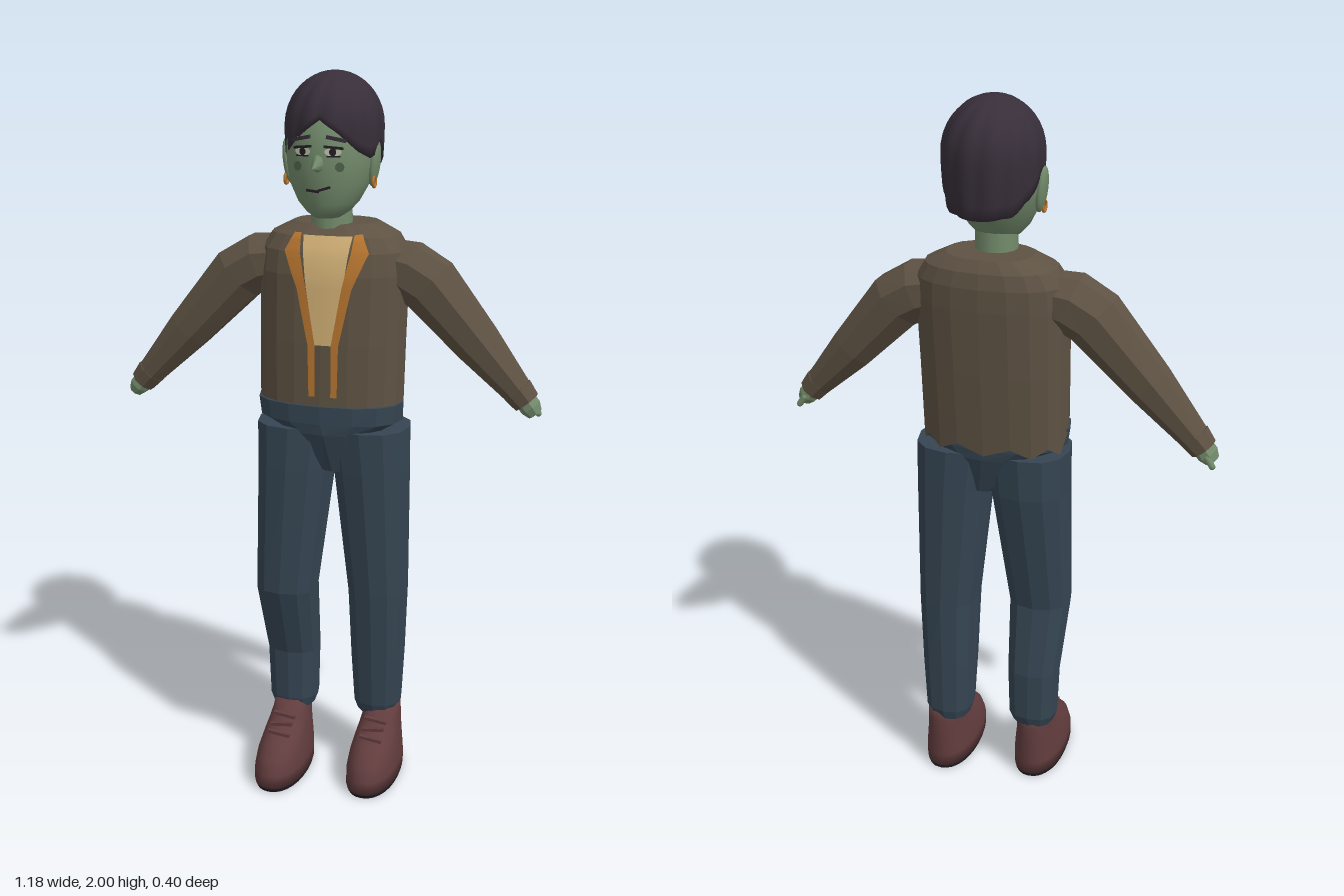
import * as THREE from 'three';

const mat = (name, color) => {
  const m = new THREE.MeshStandardMaterial({ color });
  m.name = name;
  return m;
};
const M = {
  skin: mat('skin', 0x728a6b), cheek: mat('cheekSpot', 0x4d6048), hair: mat('hair', 0x372e39),
  jacket: mat('jacket', 0x5e5243), trim: mat('jacketTrim', 0xb5742f), shirt: mat('shirt', 0xcfae74),
  pants: mat('pants', 0x354552), shoe: mat('shoe', 0x613c3d), dark: mat('dark', 0x221d24),
  eye: mat('eyeWhite', 0xb9c2a8),
};

// Grid of rings -> closed surface; each ring runs from +z towards +x, rings go along the path
function skin(rings, flat, caps = true) {
  const n = rings[0].length, pos = rings.flat().flatMap(p => [p.x, p.y, p.z]), idx = [];
  for (let i = 0; i < rings.length - 1; i++)
    for (let j = 0; j < n; j++) {
      const a = i * n + j, b = i * n + (j + 1) % n;
      idx.push(a, b, b + n, a, b + n, a + n);
    }
  if (caps) [0, rings.length - 1].forEach((r, k) => {
    const c = rings[r].reduce((s, p) => s.add(p), new THREE.Vector3()).divideScalar(n);
    const ci = pos.push(c.x, c.y, c.z) / 3 - 1;
    for (let j = 0; j < n; j++) {
      const a = r * n + j, b = r * n + (j + 1) % n;
      idx.push(ci, ...(k ? [a, b] : [b, a]));
    }
  });
  let g = new THREE.BufferGeometry();
  g.setAttribute('position', new THREE.Float32BufferAttribute(pos, 3));
  g.setIndex(idx);
  if (flat) g = g.toNonIndexed();
  g.computeVertexNormals();
  return g;
}
const bend = (v, e) => Math.sign(v) * Math.pow(Math.abs(v), e);

// Upright sections [y, centre x, half width, front z, back z]
function upright(secs, n, e, flat, tweak) {
  return skin(secs.map(([y, cx, rx, f, b], i) => Array.from({ length: n }, (_, j) => {
    const a = j / n * Math.PI * 2;
    const p = new THREE.Vector3(cx + rx * bend(Math.sin(a), e), y, (f + b) / 2 + (f - b) / 2 * bend(Math.cos(a), e));
    if (tweak) tweak(p, i, j);
    return p;
  })), flat);
}
// Front z of an upright form at (x, y)
function frontZ(secs, e, x, y) {
  let i = 0;
  while (i < secs.length - 2 && y > secs[i + 1][0]) i++;
  const t = THREE.MathUtils.clamp((y - secs[i][0]) / (secs[i + 1][0] - secs[i][0]), 0, 1);
  const [, cx, rx, f, b] = secs[i].map((v, k) => v + (secs[i + 1][k] - v) * t);
  const q = Math.min(1, Math.abs((x - cx) / rx));
  return (f + b) / 2 + (f - b) / 2 * Math.pow(1 - Math.pow(q, 2 / e), e / 2);
}
// Limb in the xy plane: sections [x, y, z, half thickness, half depth]
function limb(secs, n) {
  const Z = new THREE.Vector3(0, 0, 1);
  return skin(secs.map(([x, y, z, ru, rv], i) => {
    const p = secs[Math.max(0, i - 1)], q = secs[Math.min(secs.length - 1, i + 1)];
    const u = new THREE.Vector3(q[0] - p[0], q[1] - p[1], 0).normalize().cross(Z);
    return Array.from({ length: n }, (_, j) => {
      const a = (j + 0.5) / n * Math.PI * 2;
      return new THREE.Vector3(x, y, z).addScaledVector(u, ru * Math.sin(a)).addScaledVector(Z, rv * Math.cos(a));
    });
  }), true);
}
// Thin panel following the front of an upright form; rows [y, left x, right x] from bottom to top
function panel(rows, secs, e, lift) {
  const cols = 4, steps = 5, pos = [], idx = [];
  const pts = [];
  rows.forEach((r, i) => {
    if (!i) return pts.push(r);
    for (let s = 1; s <= steps; s++) pts.push(r.map((v, k) => rows[i - 1][k] + (v - rows[i - 1][k]) * s / steps));
  });
  pts.forEach(([y, a, b], i) => {
    for (let c = 0; c <= cols; c++) {
      const x = a + (b - a) * c / cols, k = i * (cols + 1) + c;
      pos.push(x, y, frontZ(secs, e, x, y) + lift);
      if (i && c) idx.push(k - cols - 2, k - cols - 1, k, k - cols - 2, k, k - 1);
    }
  });
  const g = new THREE.BufferGeometry();
  g.setAttribute('position', new THREE.Float32BufferAttribute(pos, 3));
  g.setIndex(idx);
  g.computeVertexNormals();
  return g;
}

export function createModel() {
  const model = new THREE.Group();
  model.name = 'standingFigure';
  const add = (name, geo, material, x = 0, y = 0, z = 0) => {
    const m = new THREE.Mesh(geo, material);
    m.name = name;
    m.position.set(x, y, z);
    model.add(m);
    return m;
  };

  // Jacket body with a ragged back hem
  const torso = [[1.12, 0.017, 0.2, 0.07, -0.165], [1.3, 0.018, 0.202, 0.068, -0.18], [1.48, 0.02, 0.204, 0.062, -0.19],
    [1.54, 0.02, 0.2, 0.05, -0.19], [1.58, 0.02, 0.175, 0.032, -0.183], [1.61, 0.02, 0.115, 0.002, -0.165]];
  add('jacketBody', upright(torso, 20, 0.85, true, (p, i, j) => {
    if (i === 0 && p.z < -0.06) p.y = 1.07 + (j % 2) * 0.025;
  }), M.jacket);
  add('shirtFront', panel([[1.3, 0.004, 0.06], [1.45, -0.02, 0.08], [1.585, -0.038, 0.095]], torso, 0.85, 0.009), M.shirt);
  const trim = [[1.16, 0.008, 0.025], [1.3, 0.008, 0.028], [1.45, 0.034, 0.06], [1.545, 0.055, 0.1], [1.59, 0.058, 0.078]];
  add('leftTrim', panel(trim.map(([y, a, b]) => [y, 0.029 + a + 0.014, 0.029 + b + 0.014]), torso, 0.85, 0.014), M.trim);
  add('rightTrim', panel(trim.map(([y, a, b]) => [y, 0.029 - b - 0.014, 0.029 - a - 0.014]), torso, 0.85, 0.014), M.trim);

  // Sleeves, cuffs and hands
  const arm = (side, path, s) => {
    add(side + 'Sleeve', limb(path, 8), M.jacket);
    const [x, y, z] = path[path.length - 1];
    add(side + 'Cuff', limb([[x - s * 0.024, y + 0.028, z, 0.043, 0.042], [x + s * 0.004, y - 0.005, z, 0.037, 0.036]], 8), M.jacket);
    add(side + 'Hand', limb([[x - s * 0.01, y + 0.012, z, 0.028, 0.03], [x + s * 0.015, y - 0.018, z, 0.029, 0.032],
      [x + s * 0.028, y - 0.035, z, 0.02, 0.024]], 8), M.skin);
    const thumb = add(side + 'Thumb', new THREE.CapsuleGeometry(0.009, 0.025, 3, 8), M.skin, x + s * 0.025, y - 0.03, z - 0.026);
    thumb.rotation.z = s * 0.6;
  };
  arm('right', [[-0.13, 1.5, -0.065, 0.07, 0.07], [-0.19, 1.49, -0.065, 0.083, 0.076], [-0.25, 1.455, -0.062, 0.083, 0.073],
    [-0.4, 1.29, -0.055, 0.064, 0.06], [-0.545, 1.13, -0.05, 0.036, 0.037]], -1);
  arm('left', [[0.16, 1.5, -0.075, 0.07, 0.07], [0.22, 1.485, -0.075, 0.083, 0.076], [0.28, 1.45, -0.075, 0.083, 0.073],
    [0.415, 1.3, -0.073, 0.064, 0.058], [0.55, 1.155, -0.064, 0.036, 0.035]], 1);

  // Trousers
  add('hips', upright([[0.94, 0.045, 0.055, 0.045, -0.12], [1.05, 0.028, 0.14, 0.076, -0.152],
    [1.08, 0.02, 0.2, 0.078, -0.155], [1.13, 0.018, 0.205, 0.078, -0.155]], 16, 0.85, true), M.pants);
  add('rightLeg', upright([[0.18, -0.095, 0.06, 0.008, -0.105], [0.21, -0.095, 0.071, 0.016, -0.115], [0.36, -0.096, 0.076, 0.018, -0.118],
    [0.57, -0.1, 0.088, 0.079, -0.085], [0.94, -0.078, 0.108, 0.079, -0.145], [1.06, -0.073, 0.115, 0.074, -0.15]], 12, 0.85, true), M.pants);
  add('leftLeg', upright([[0.18, 0.15, 0.058, -0.02, -0.148], [0.21, 0.151, 0.069, -0.01, -0.156], [0.36, 0.152, 0.077, 0.008, -0.156],
    [0.57, 0.153, 0.084, 0.032, -0.156], [0.94, 0.135, 0.105, 0.064, -0.156], [1.06, 0.126, 0.114, 0.072, -0.156]], 12, 0.85, true), M.pants);

  // Shoes with dark soles and laces
  for (const [side, x, dz] of [['right', -0.098, 0.045], ['left', 0.165, 0]]) {
    add(side + 'Sole', upright([[0, 0, 0.07, 0.148, -0.152], [0.012, 0, 0.073, 0.154, -0.155]], 28, 0.9, true), M.dark, x, 0, dz);
    add(side + 'Shoe', upright([[0.012, 0, 0.073, 0.154, -0.156], [0.05, 0, 0.073, 0.153, -0.156], [0.09, 0, 0.068, 0.132, -0.156],
      [0.12, 0, 0.062, 0.09, -0.155], [0.145, 0, 0.057, 0.04, -0.154], [0.17, 0, 0.053, 0, -0.152],
      [0.205, 0, 0.05, -0.025, -0.148]], 28, 0.9, false), M.shoe, x, 0, dz);
    for (let k = 0; k < 3; k++) {
      const lace = add(side + 'Lace', new THREE.BoxGeometry(0.065, 0.009, 0.012), M.shoe, x, 0.14 + k * 0.016, dz + 0.055 - k * 0.027);
      lace.rotation.z = (k % 2 ? 1 : -1) * 0.12;
    }
  }

  // Head and neck
  const cx = 0.017;
  add('neck', new THREE.CylinderGeometry(0.054, 0.057, 0.11, 16), M.skin, cx, 1.635, -0.043);
  const head = [[1.63, cx, 0.035, 0.04, -0.06], [1.645, cx, 0.057, 0.058, -0.085], [1.67, cx, 0.08, 0.07, -0.105], [1.72, cx, 0.106, 0.082, -0.14],
    [1.77, cx, 0.116, 0.088, -0.165], [1.82, cx, 0.118, 0.086, -0.175], [1.88, cx, 0.112, 0.074, -0.17], [1.94, cx, 0.075, 0.03, -0.13]];
  add('head', upright(head, 32, 1, false), M.skin);
  for (const s of [-1, 1]) {
    const side = s > 0 ? 'left' : 'right';
    const ear = add(side + 'Ear', new THREE.SphereGeometry(1, 14, 10), M.skin, cx + s * 0.117, 1.768, -0.038);
    ear.scale.set(0.014, 0.06, 0.03);
    ear.rotation.z = -s * 0.12;
    const ring = add(side + 'Earring', new THREE.TorusGeometry(0.014, 0.004, 6, 14), M.trim, cx + s * 0.12, 1.722, -0.025);
    ring.rotation.y = Math.PI / 2;
  }
  const nose = add('nose', new THREE.ConeGeometry(0.02, 0.06, 8), M.skin, cx, 1.772, 0.104);
  nose.rotation.x = Math.PI / 2 + 0.15;
  nose.scale.z = 1.4;

  // Painted face details
  const mark = (name, geo, material, x, y, lift, tilt = 0) => {
    const m = add(name, geo, material, x, y, frontZ(head, 1, x, y) + lift);
    m.rotation.set(0, (x - cx) * 5.5, tilt, 'YXZ');
    return m;
  };
  const disc = new THREE.CircleGeometry(1, 18), bar = (w, h) => new THREE.BoxGeometry(w, h, 0.008);
  for (const s of [-1, 1]) {
    mark('eyeWhite', disc, M.eye, cx + s * 0.04, 1.806, 0.004).scale.set(0.022, 0.011, 1);
    mark('iris', disc, M.dark, cx + s * 0.04, 1.806, 0.007).scale.set(0.009, 0.01, 1);
    mark('upperLid', bar(0.05, 0.006), M.dark, cx + s * 0.041, 1.817, 0.003, -s * 0.1);
    mark('lowerLid', bar(0.035, 0.003), M.dark, cx + s * 0.041, 1.795, 0.002);
    mark('eyebrow', bar(0.052, 0.009), M.hair, cx + s * 0.046, 1.838, 0.004, -s * 0.2);
    mark('cheekSpot', disc, M.cheek, cx + s * 0.056, 1.768, 0.005).scale.set(0.012, 0.012, 1);
    mark('mouth', bar(0.034, 0.006), M.dark, cx + s * 0.015, 1.709 + s * 0.003, 0.001, s > 0 ? 0.3 : -0.1);
  }

  // Fluted hair parted over the forehead, longer at the back
  const hem = [[0, 1.885], [0.35, 1.855], [0.8, 1.805], [1.15, 1.785], [1.6, 1.815], [2.0, 1.76], [2.4, 1.725], [3.2, 1.715]];
  const hemAt = a => {
    const d = Math.min(a, Math.PI * 2 - a), i = hem.findIndex(h => h[0] > d), [p, q] = [hem[i - 1], hem[i]];
    return p[1] + (q[1] - p[1]) * (d - p[0]) / (q[0] - p[0]);
  };
  const rows = 14, segs = 60, rings = [];
  for (let i = 0; i <= rows; i++) rings.push(Array.from({ length: segs }, (_, j) => {
    const a = j / segs * Math.PI * 2, s = Math.max(0.02, Math.min(1, (rows - i + 0) / (rows - 1)));
    const y = 2 - (2 - hemAt(a)) * (1 - Math.cos(s * Math.PI / 2));
    let r = y > 1.86 ? Math.sqrt(1 - ((y - 1.86) / 0.14) ** 2) : 1 - 3.5 * (1.86 - y) ** 2;
    r *= 0.955 + 0.05 * Math.abs(Math.sin(a * 6));
    if (i === 0) r *= 0.8;
    const t = a + 0.35 * (1 - s) ** 2;
    return new THREE.Vector3(0.02 + 0.129 * r * Math.sin(t), y, -0.058 + 0.147 * r * Math.cos(t));
  }));
  add('hair', skin(rings, false), M.hair);

  // Centre the whole figure and stand it on the ground
  const box = new THREE.Box3().setFromObject(model), c = box.getCenter(new THREE.Vector3());
  model.children.forEach(m => m.position.sub(new THREE.Vector3(c.x, box.min.y, c.z)));
  return model;
}
